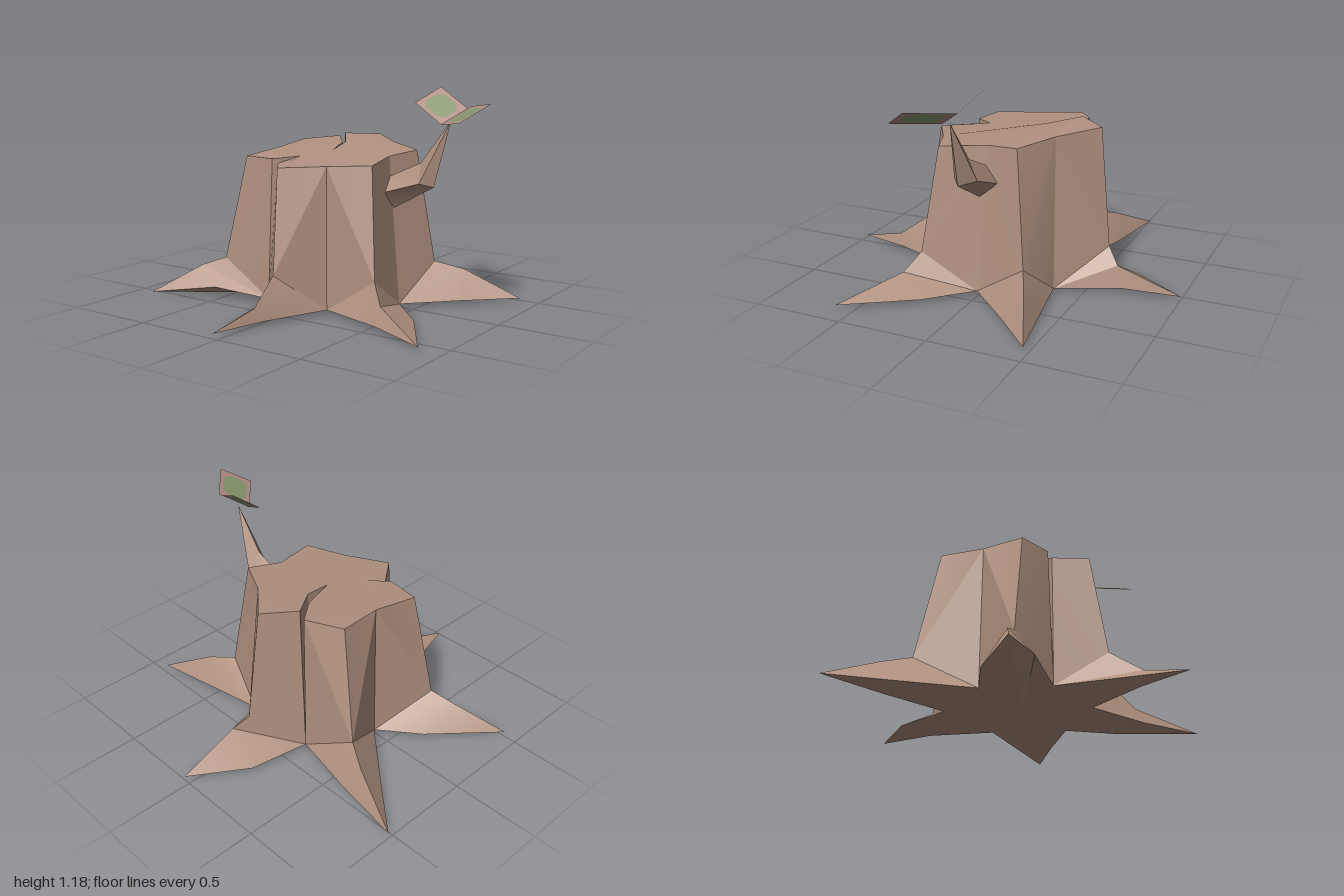
import * as THREE from 'three';
import { toCreasedNormals } from 'three/addons/utils/BufferGeometryUtils.js';

const bark = new THREE.MeshStandardMaterial({ color: 0xb0917f, side: THREE.DoubleSide });
bark.name = 'bark';
const leafGreen = new THREE.MeshStandardMaterial({ color: 0x87976f, side: THREE.DoubleSide });
leafGreen.name = 'leaf green';
const leafRim = new THREE.MeshStandardMaterial({ color: 0xb08e84, side: THREE.DoubleSide });
leafRim.name = 'leaf rim';

// Turns a list of triangles (each three [x, y, z] corners) into a named mesh
function meshFrom(name, tris, material, crease = 0.3) {
  const geo = new THREE.BufferGeometry();
  geo.setAttribute('position', new THREE.Float32BufferAttribute(tris.flat(2), 3));
  const mesh = new THREE.Mesh(toCreasedNormals(geo, crease), material);
  mesh.name = name;
  return mesh;
}

// Six roots, anticlockwise from the front: ridge from cut top to tip,
// plus the ground points on either side of the knee
const roots = [
  { top: [-0.05, 0.77, 0.46], shoulder: [-0.02, 0.22, 0.54], knee: [0, 0.09, 0.72], tip: [-0.04, 0.02, 0.99], before: [-0.13, 0.02, 0.66], after: [0.03, 0.02, 0.69] },
  { top: [0.39, 0.79, 0.24], shoulder: [0.46, 0.21, 0.32], knee: [0.54, 0.11, 0.39], tip: [0.88, 0.02, 0.6], before: [0.54, 0.02, 0.44], after: [0.64, 0.02, 0.23] },
  { top: [0.39, 0.83, -0.21], shoulder: [0.47, 0.21, -0.28], knee: [0.62, 0.17, -0.35], tip: [0.9, 0.02, -0.47], before: [0.65, 0.02, -0.23], after: [0.56, 0.02, -0.41] },
  { top: [-0.04, 0.87, -0.51], shoulder: [-0.01, 0.22, -0.58], knee: [0.05, 0.14, -0.65], tip: [0.04, 0.02, -1], before: [0.07, 0.02, -0.68], after: [-0.16, 0.02, -0.7] },
  { top: [-0.41, 0.84, -0.26], shoulder: [-0.54, 0.21, -0.32], knee: [-0.68, 0.16, -0.4], tip: [-0.99, 0.02, -0.52], before: [-0.6, 0.02, -0.45], after: [-0.69, 0.02, -0.26] },
  { top: [-0.41, 0.79, 0.27], shoulder: [-0.54, 0.21, 0.31], knee: [-0.67, 0.16, 0.36], tip: [-0.91, 0, 0.53], before: [-0.62, 0.02, 0.17], after: [-0.53, 0.06, 0.42] },
];

// Valley ahead of each root; those with several top points are split by a crack
const valleys = [
  { top: [[-0.21, 0.79, 0.3], [-0.11, 0.8, 0.18], [-0.17, 0.77, 0.3]], foot: [-0.22, 0.02, 0.33] },
  { top: [[0.17, 0.78, 0.33]], foot: [0.17, 0.02, 0.33] },
  { top: [[0.33, 0.81, -0.02]], foot: [0.42, 0.02, 0.01] },
  { top: [[0.17, 0.85, -0.33]], foot: [0.22, 0.02, -0.35] },
  { top: [[-0.18, 0.88, -0.35], [-0.06, 0.85, -0.18], [-0.03, 0.82, -0.01], [-0.11, 0.84, -0.22], [-0.23, 0.86, -0.37]], foot: [-0.22, 0.02, -0.36] },
  { top: [[-0.38, 0.82, 0]], foot: [-0.4, 0.02, 0] },
];

function createStump() {
  const stump = new THREE.Group();
  stump.name = 'stump';
  const sides = [], cracks = [], rim = [], ground = [];

  // Half of one lobe and root, between a valley and the ridge
  const half = (valleyTop, foot, g, r, flip) => {
    const tris = [
      [valleyTop, foot, r.shoulder], [valleyTop, r.shoulder, r.top],
      [foot, r.knee, r.shoulder], [foot, g, r.knee], [g, r.tip, r.knee],
    ];
    sides.push(...tris.map(([a, b, c]) => (flip ? [a, c, b] : [a, b, c])));
  };

  roots.forEach((r, i) => {
    const v = valleys[i], next = valleys[(i + 1) % valleys.length];
    half(v.top.at(-1), v.foot, r.before, r, false);
    half(next.top[0], next.foot, r.after, r, true);
    for (let k = 0; k + 1 < v.top.length; k++) cracks.push([v.top[k], v.foot, v.top[k + 1]]);
    rim.push(...v.top, r.top);
    ground.push(v.foot, r.before, r.tip, r.after);
  });

  // Cut face follows the notched rim
  const outline = rim.map(([x, , z]) => new THREE.Vector2(x, -z));
  const cap = THREE.ShapeUtils.triangulateShape(outline, []).map((f) => f.map((i) => rim[i]));

  // Underside fans out from the centre
  const centre = [0, 0.02, 0];
  const base = ground.map((p, i) => [centre, ground[(i + 1) % ground.length], p]);

  stump.add(
    meshFrom('trunkAndRoots', sides, bark),
    meshFrom('crackWalls', cracks, bark),
    meshFrom('cutTop', cap, bark, 0.6),
    meshFrom('underside', base, bark),
  );
  return stump;
}

// Bent diamond-section branch tapering to a point
function createBranch() {
  const root = [[0.33, 0.7, -0.01], [0.36, 0.63, 0.08], [0.38, 0.54, 0.01], [0.36, 0.62, -0.09]];
  const elbow = [[0.53, 0.79, -0.01], [0.56, 0.69, 0.06], [0.62, 0.67, 0.01], [0.56, 0.69, -0.07]];
  const tip = [0.71, 1.02, 0];
  const tris = [];
  for (let i = 0; i < 4; i++) {
    const j = (i + 1) % 4;
    tris.push([root[i], root[j], elbow[j]], [root[i], elbow[j], elbow[i]], [elbow[i], elbow[j], tip]);
  }
  return meshFrom('branch', tris, bark);
}

// Flat four-cornered leaf: a green centre inside a pale rim
function createLeaf(name, corner, u, v) {
  const shape = new THREE.Shape([[0, 0], [1, 0], [1, 1], [0, 1]].map((p) => new THREE.Vector2(...p)));
  const patch = [[0.27, 0.13], [0.73, 0.13], [0.87, 0.3], [0.87, 0.7], [0.73, 0.87], [0.27, 0.87], [0.13, 0.7], [0.13, 0.3]]
    .map((p) => new THREE.Vector2(...p));
  shape.holes.push(new THREE.Path(patch));
  const U = new THREE.Vector3(...u), V = new THREE.Vector3(...v);
  const N = new THREE.Vector3().crossVectors(U, V).normalize();
  const place = new THREE.Matrix4().makeBasis(U, V, N).setPosition(...corner);
  const leaf = new THREE.Group();
  leaf.name = name;
  [[shape, leafRim, 'Rim'], [new THREE.Shape(patch), leafGreen, 'Centre']].forEach(([s, material, part]) => {
    const mesh = new THREE.Mesh(new THREE.ShapeGeometry(s).applyMatrix4(place), material);
    mesh.name = name + part;
    leaf.add(mesh);
  });
  return leaf;
}

export function createModel() {
  const model = new THREE.Group();
  model.name = 'treeStump';
  model.add(
    createStump(),
    createBranch(),
    createLeaf('innerLeaf', [0.48, 1.1, -0.03], [0.2, -0.1, 0.08], [0.09, 0.08, -0.11]),
    createLeaf('outerLeaf', [0.68, 1.0, 0.06], [0.2, 0.03, 0.18], [0.1, 0.09, -0.14]),
  );
  return model;
}
